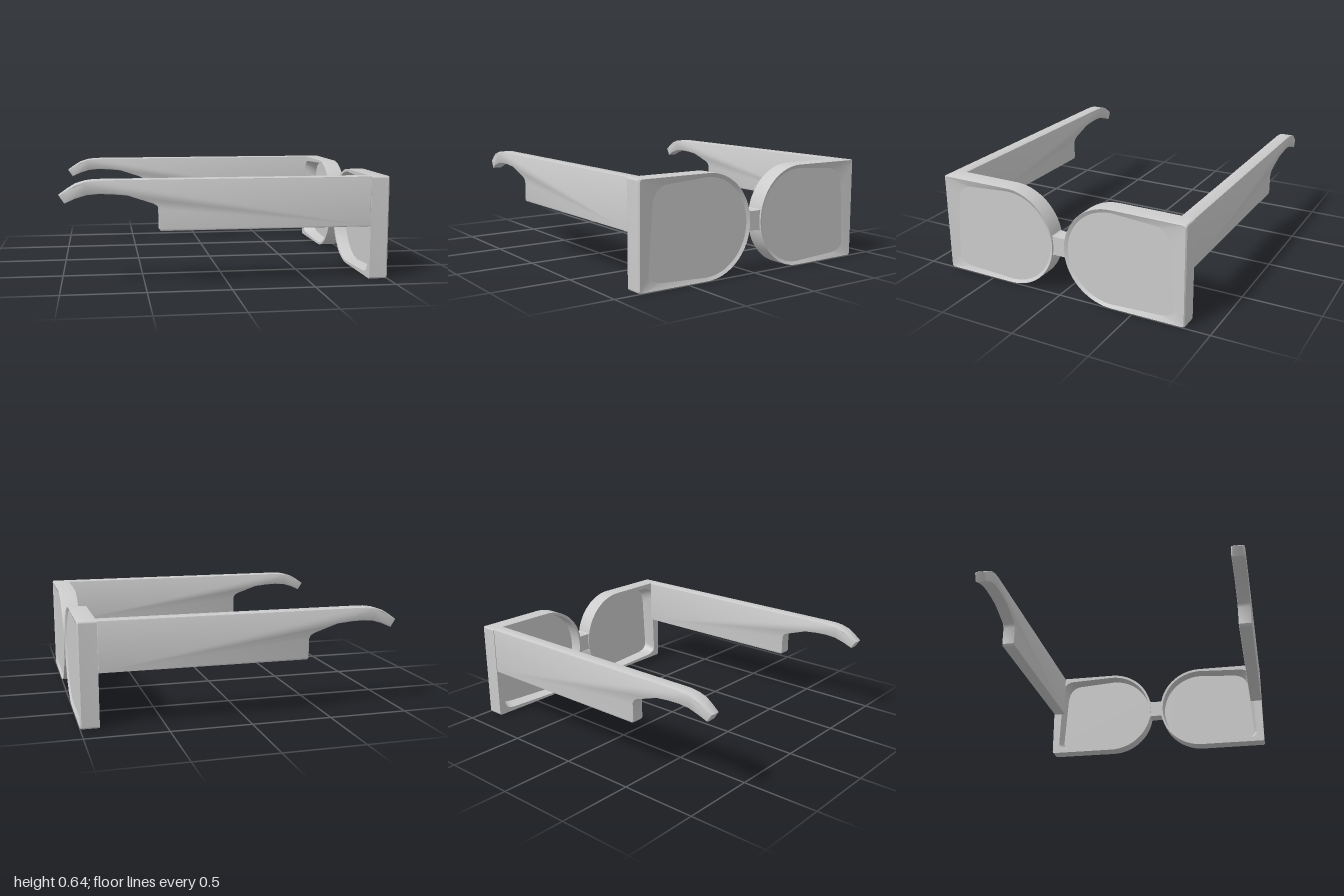
import * as THREE from 'three';
import { toCreasedNormals } from 'three/addons/utils/BufferGeometryUtils.js';

const material = new THREE.MeshStandardMaterial({ color: 0xcccccc });

function makeMesh(name, geometry, crease = 0.6) {
  const mesh = new THREE.Mesh(toCreasedNormals(geometry, crease), material);
  mesh.name = name;
  return mesh;
}

// Outline in (z, y): two soft outer corners joined by a round bow toward the nose.
function outline(topCorner, bottomCorner, bowRadiusZ, bowRadiusY, bowY) {
  const points = [];
  for (const corner of [topCorner, bottomCorner]) {
    const [a, b, c] = corner.map(([z, y]) => new THREE.Vector2(z, y));
    points.push(...new THREE.QuadraticBezierCurve(a, b, c).getPoints(8));
  }
  for (let i = 0; i <= 36; i++) {
    const angle = -Math.PI / 2 + (Math.PI * i) / 36;
    points.push(new THREE.Vector2(0.36 - bowRadiusZ * Math.cos(angle), bowY + bowRadiusY * Math.sin(angle)));
  }
  return points;
}

const outer = outline(
  [[0.828, 0.64], [0.84, 0.64], [0.84, 0.628]],
  [[0.84, 0.012], [0.84, 0], [0.828, 0]], 0.32, 0.32, 0.32);
const inner = outline(
  [[0.64, 0.595], [0.735, 0.585], [0.745, 0.47]],
  [[0.768, 0.12], [0.78, 0.05], [0.68, 0.038]], 0.298, 0.296, 0.318);

// Put an outline on one side of the nose, counterclockwise seen from the lens face.
const onSide = (points, side) => {
  const placed = points.map(p => new THREE.Vector2(p.x * side, p.y));
  return side > 0 ? placed : placed.reverse();
};

// Rim cross-section: [blend from outer to inner outline, x]
const rimSection = [[0, 0.885], [0, 0.992], [0.08, 1], [1, 0.988], [1, 0.955], [0.72, 0.885], [0, 0.885]];

function rimGeometry(side) {
  const a = onSide(outer, side), b = onSide(inner, side), n = a.length;
  const positions = [], indices = [];
  for (const [t, x] of rimSection) {
    for (let i = 0; i < n; i++) {
      const p = a[i].clone().lerp(b[i], t);
      positions.push(x, p.y, p.x);
    }
  }
  for (let k = 0; k < rimSection.length - 1; k++) {
    for (let i = 0; i < n; i++) {
      const j = (i + 1) % n, p = k * n, q = p + n;
      indices.push(p + i, p + j, q + j, p + i, q + j, q + i);
    }
  }
  const geometry = new THREE.BufferGeometry();
  geometry.setAttribute('position', new THREE.Float32BufferAttribute(positions, 3));
  geometry.setIndex(indices);
  return geometry;
}

function lensGeometry(side) {
  const shape = new THREE.Shape(onSide(inner, side).map(p => new THREE.Vector2(-p.x, p.y)));
  return new THREE.ExtrudeGeometry(shape, { depth: 0.02, bevelEnabled: false })
    .rotateY(Math.PI / 2).translate(0.968, 0, 0);
}

// Temple arm: side profile with a stepped underside and a drooping, tapered tip.
function templeGeometry() {
  const profile = [
    [0.886, 0.33], [0.886, 0.64], [-0.74, 0.64], [-0.8, 0.639], [-0.85, 0.632], [-0.905, 0.615],
    [-0.95, 0.588], [-1, 0.553], [-0.967, 0.503], [-0.905, 0.531], [-0.84, 0.551], [-0.77, 0.557],
    [-0.69, 0.554], [-0.6, 0.545], [-0.53, 0.522], [-0.45, 0.495], [-0.425, 0.48], [-0.415, 0.46],
    [-0.415, 0.342], [-0.405, 0.33]];
  const shape = new THREE.Shape(profile.map(([x, y]) => new THREE.Vector2(x, y)));
  const bevel = 0.008, width = 0.086;
  const geometry = new THREE.ExtrudeGeometry(shape, {
    depth: width - 2 * bevel, bevelThickness: bevel, bevelSize: bevel, bevelOffset: -bevel, bevelSegments: 2,
  }).translate(0, 0, bevel - width / 2);
  const pos = geometry.attributes.position;
  for (let i = 0; i < pos.count; i++) {
    const t = THREE.MathUtils.clamp((-0.9 - pos.getX(i)) / 0.1, 0, 1);
    pos.setZ(i, pos.getZ(i) * (1 - 0.28 * t));
  }
  return geometry;
}

// Nose bridge: short bar, slightly waisted where it leaves the rims.
function bridgeGeometry() {
  const shape = new THREE.Shape();
  shape.moveTo(-0.055, 0.25);
  shape.quadraticCurveTo(-0.04, 0.262, -0.03, 0.262);
  shape.lineTo(0.03, 0.262);
  shape.quadraticCurveTo(0.04, 0.262, 0.055, 0.25);
  shape.lineTo(0.055, 0.39);
  shape.quadraticCurveTo(0.04, 0.382, 0.03, 0.382);
  shape.lineTo(-0.03, 0.382);
  shape.quadraticCurveTo(-0.04, 0.382, -0.055, 0.39);
  return new THREE.ExtrudeGeometry(shape, { depth: 0.1, bevelEnabled: false })
    .rotateY(Math.PI / 2).translate(0.89, 0, 0);
}

export function createModel() {
  const model = new THREE.Group();
  model.name = 'glasses';
  for (const side of [1, -1]) {
    const label = side > 0 ? 'left' : 'right';
    const temple = makeMesh(label + 'Temple', templeGeometry());
    temple.position.z = side * 0.796;
    model.add(
      makeMesh(label + 'Rim', rimGeometry(side)),
      makeMesh(label + 'Lens', lensGeometry(side)),
      temple);
  }
  model.add(makeMesh('bridge', bridgeGeometry()));
  return model;
}
